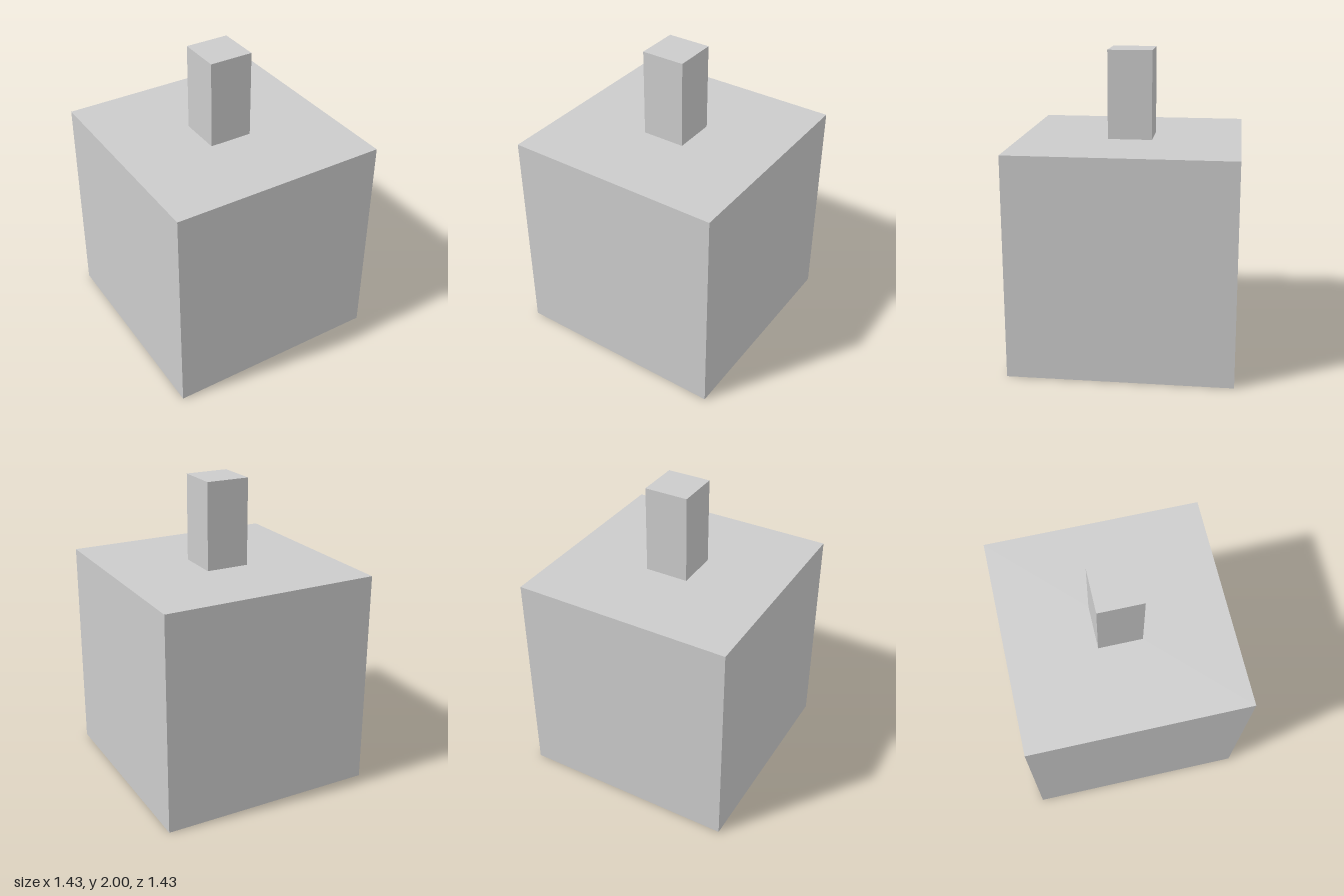
import * as THREE from 'three';

const BODY = 10 / 7;          // edge of the cube
const POST_WIDTH = 2 / 7;
const POST_HEIGHT = 2 - BODY;

export function createModel() {
  const model = new THREE.Group();
  const material = new THREE.MeshStandardMaterial({ color: 0xcccccc, flatShading: true });

  // Square block standing with its underside at the given height
  const addBlock = (name, width, height, bottom) => {
    const mesh = new THREE.Mesh(new THREE.BoxGeometry(width, height, width), material);
    mesh.name = name;
    mesh.position.y = bottom + height / 2;
    model.add(mesh);
  };

  // Large cube with a slim square post centred on top
  addBlock('body', BODY, BODY, 0);
  addBlock('post', POST_WIDTH, POST_HEIGHT, BODY);

  return model;
}
